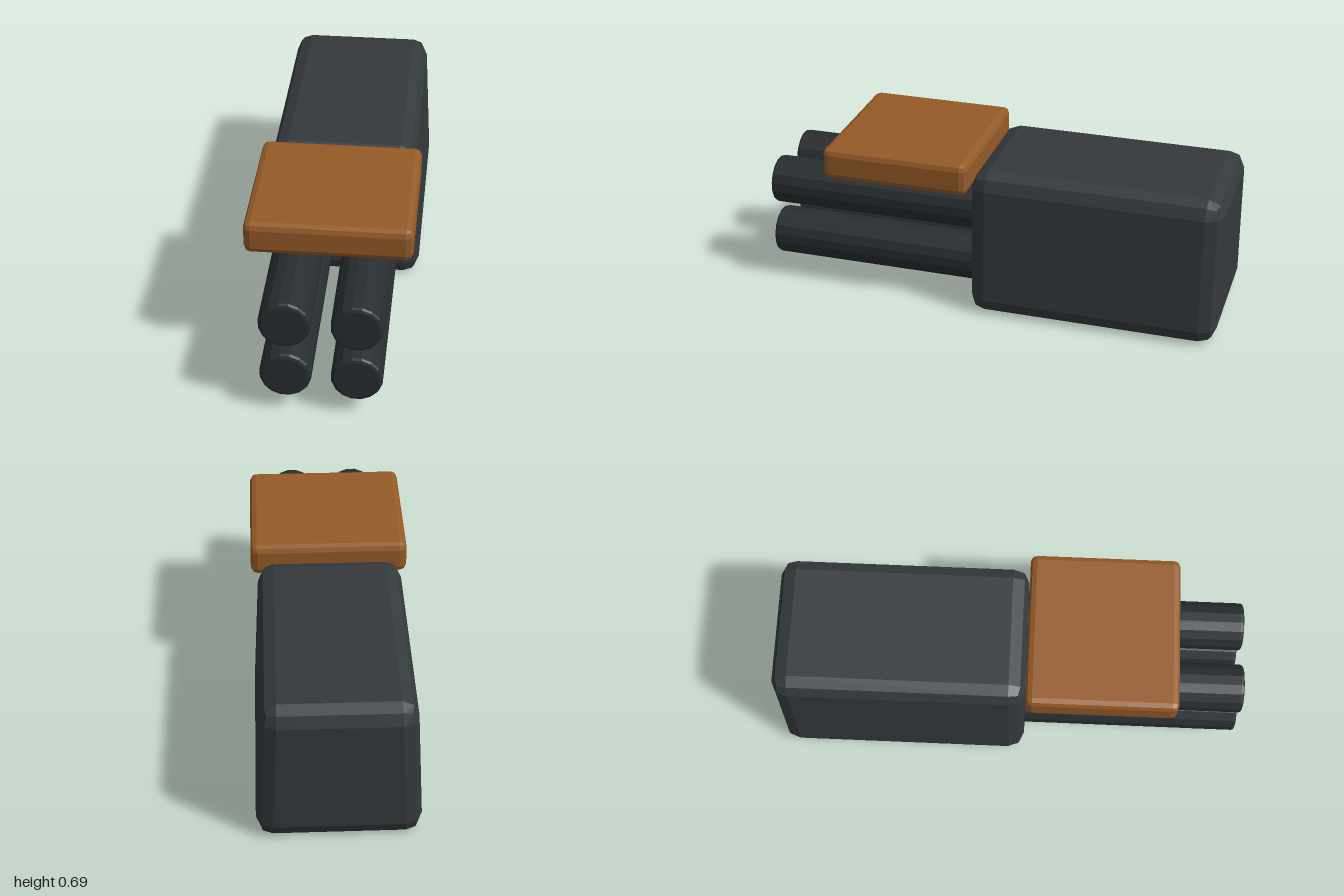
import * as THREE from 'three';
import { RoundedBoxGeometry } from 'three/addons/geometries/RoundedBoxGeometry.js';

const paint = (color) => new THREE.MeshStandardMaterial({ color, flatShading: true });

function addPart(group, name, geometry, material, x, y, z) {
  const mesh = new THREE.Mesh(geometry, material);
  mesh.name = name;
  mesh.position.set(x, y, z);
  group.add(mesh);
  return mesh;
}

// Bevelled block whose sides lean inwards towards the top
function taperedBlock(width, height, depth, bevel, taper) {
  const geometry = new RoundedBoxGeometry(width, height, depth, 1, bevel);
  const pos = geometry.attributes.position;
  for (let i = 0; i < pos.count; i++) {
    pos.setX(i, pos.getX(i) * (1 - taper * (pos.getY(i) / height + 0.5)));
  }
  geometry.computeVertexNormals();
  return geometry;
}

// Sixteen-sided rod along z with a bevelled front end
function rodGeometry(length, radius, bevel) {
  const profile = [
    [0, 0], [radius, 0], [radius, length - bevel],
    [radius - bevel * 0.3, length - bevel * 0.3],
    [radius - bevel, length], [0, length],
  ].map(([r, y]) => new THREE.Vector2(r, y));
  const geometry = new THREE.LatheGeometry(profile, 16);
  geometry.rotateY(Math.PI / 16);
  geometry.rotateX(Math.PI / 2);
  return geometry;
}

export function createModel() {
  const model = new THREE.Group();
  model.name = 'model';

  // Main body
  addPart(model, 'body', taperedBlock(0.676, 0.645, 1.07, 0.07, 0.098),
    paint(0x34393c), 0, 0.3225, -0.465);

  // Four rods reaching forward from the body
  const rod = rodGeometry(1, 0.104, 0.014);
  const rodPaint = paint(0x282d30);
  for (const [row, y] of [['lower', 0.18], ['upper', 0.43]]) {
    for (const [side, x] of [['Right', -0.142], ['Left', 0.142]]) {
      addPart(model, `${row}${side}Rod`, rod, rodPaint, x, y, 0);
    }
  }

  // Wide slab above the rods
  addPart(model, 'slab', new RoundedBoxGeometry(0.676, 0.14, 0.638, 1, 0.028),
    paint(0x955a28), 0, 0.623, 0.391);

  return model;
}
